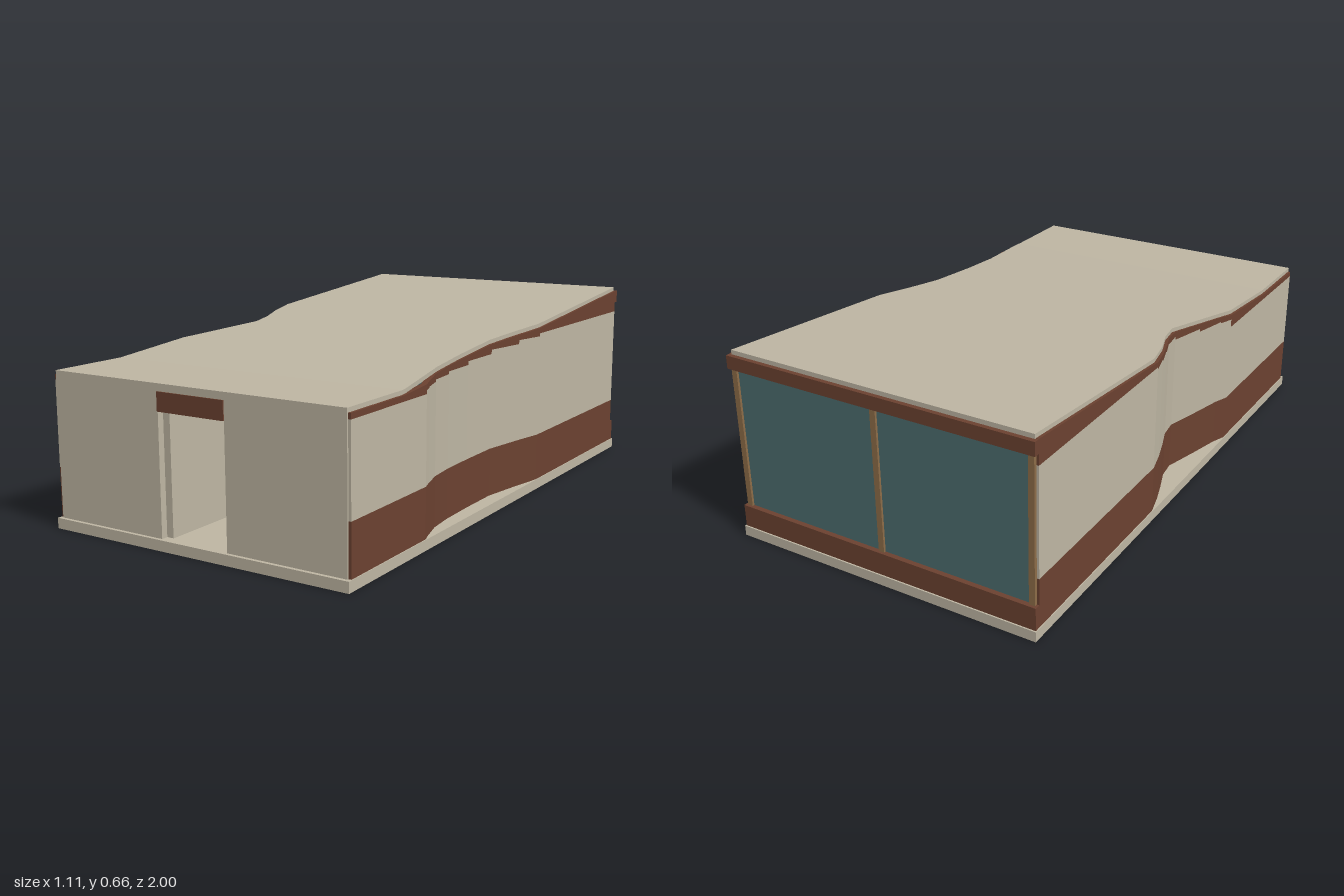
import * as THREE from 'three';
import { mergeGeometries } from 'three/addons/utils/BufferGeometryUtils.js';

const mat = (name, color) => Object.assign(new THREE.MeshStandardMaterial({ color }), { name });

// Height of the roof surface: flat over the entrance, then rising to the back
const roofY = z => 0.515 + Math.max(0, 0.7 - z) * 0.0863;

// Plan outlines [z, |x|] running from front to back, with a scooped recess on each flank
const wallLeft = [[0.983, 0.553], [0.57, 0.553], [0.53, 0.54], [0.45, 0.518], [0.35, 0.508], [0.21, 0.504],
  [0.04, 0.504], [-0.12, 0.53], [-0.24, 0.553], [-0.975, 0.553]];
const wallRight = [[0.983, 0.553], [0.37, 0.553], [0.32, 0.534], [0.2, 0.505], [0.07, 0.471], [0, 0.48],
  [-0.08, 0.508], [-0.16, 0.533], [-0.24, 0.553], [-0.975, 0.553]];
const roofLeft = [[0.988, 0.544], [0.68, 0.544], [0.42, 0.506], [0.25, 0.497], [0.04, 0.495], [-0.08, 0.512],
  [-0.25, 0.544], [-0.98, 0.544]];
const roofRight = [[0.988, 0.544], [0.38, 0.544], [0.32, 0.528], [0.06, 0.462], [-0.03, 0.479], [-0.13, 0.515],
  [-0.25, 0.544], [-0.98, 0.544]];

// Interpolates an outline at z
function widthAt(line, z) {
  for (let i = 0; i < line.length - 1; i++) {
    const [z0, x0] = line[i], [z1, x1] = line[i + 1];
    if (z <= z0 && z >= z1) return x0 + (x1 - x0) * (z0 - z) / (z0 - z1);
  }
  return line[line.length - 1][1];
}

// Solid through four-sided sections { z, x0, x1, y0, y1 } listed from front to back
function loft(sections) {
  const rings = sections.map(({ z, x0, x1, y0, y1 }) => [[x0, y0, z], [x1, y0, z], [x1, y1, z], [x0, y1, z]]);
  const pos = [];
  const quad = (a, b, c, d) => pos.push(...a, ...b, ...c, ...a, ...c, ...d);
  quad(...rings[0]);
  for (let i = 0; i < rings.length - 1; i++) {
    const A = rings[i], B = rings[i + 1];
    for (let k = 0; k < 4; k++) quad(A[k], B[k], B[(k + 1) % 4], A[(k + 1) % 4]);
  }
  quad(...rings[rings.length - 1].slice().reverse());
  const g = new THREE.BufferGeometry();
  g.setAttribute('position', new THREE.Float32BufferAttribute(pos, 3));
  g.computeVertexNormals();
  return g;
}

export function createModel() {
  const cream = mat('cream plaster', 0xbdb5a2);
  const brown = mat('brown cladding', 0x6b4130);
  const glass = mat('teal glass', 0x4c6c6e);
  const wood = mat('tan wood', 0x8c6c48);
  const model = new THREE.Group();
  model.name = 'pavilion';

  const add = (name, geometry, material) => {
    const m = new THREE.Mesh(geometry, material);
    m.name = name;
    model.add(m);
  };
  // Box given by its limits
  const box = (name, material, x0, x1, y0, y1, z0, z1) => {
    const g = new THREE.BoxGeometry(x1 - x0, y1 - y0, z1 - z0);
    g.translate((x0 + x1) / 2, (y0 + y1) / 2, (z0 + z1) / 2);
    add(name, g, material);
  };

  // Floor slab
  box('floorSlab', cream, -0.556, 0.556, 0, 0.035, -1, 1);

  // Sloping roof
  const zs = [...new Set([...roofLeft, ...roofRight].map(p => p[0]).concat(0.7))].sort((a, b) => b - a);
  add('roof', loft(zs.map(z => ({
    z, x0: -widthAt(roofRight, z), x1: widthAt(roofLeft, z), y0: roofY(z) - 0.015, y1: roofY(z),
  }))), cream);

  // Flank walls: brown plinth, cream panels with stepped tops, brown fascia under the roof
  for (const [side, line, s] of [['left', wallLeft, 1], ['right', wallRight, -1]]) {
    const sec = ([z, w], y0, y1) => ({
      z, y0, y1, x0: s > 0 ? w - 0.02 : -w, x1: s > 0 ? w : 0.02 - w,
    });
    add(side + 'Plinth', loft(line.map(p => sec(p, 0.035, 0.2))), brown);
    const panels = [], fascia = [];
    for (let i = 0; i < line.length - 1; i++) {
      const a = line[i], b = line[i + 1];
      const step = roofY(a[0]) - 0.032;
      panels.push(loft([sec(a, 0.2, step), sec(b, 0.2, step)]));
      // Extra section where the roof starts to rise
      const stops = [a];
      if (a[0] > 0.7 && b[0] < 0.7) stops.push([0.7, widthAt(line, 0.7)]);
      stops.push(b);
      fascia.push(loft(stops.map(p => sec(p, step, roofY(p[0]) - 0.014))));
    }
    add(side + 'Panels', mergeGeometries(panels), cream);
    add(side + 'Fascia', mergeGeometries(fascia), brown);
  }

  // Entrance front
  for (const s of [-1, 1]) {
    box('frontWall', cream, s < 0 ? -0.544 : 0.125, s < 0 ? -0.125 : 0.544, 0.035, 0.491, 0.965, 0.988);
  }
  box('frontRoofEdge', cream, -0.544, 0.544, 0.491, 0.505, 0.965, 0.988);
  box('doorLintel', brown, -0.125, 0.125, 0.43, 0.491, 0.97, 0.992);

  // Hall walls behind the door
  box('hallWall', cream, -0.125, -0.1, 0.035, 0.45, 0.3, 0.965);
  box('partition', cream, -0.09, 0.055, 0.035, 0.397, 0.18, 0.2);
  box('partitionCap', brown, -0.1, 0.055, 0.397, 0.41, 0.18, 0.2);

  // Glazed back with rails and posts
  box('backGlass', glass, -0.54, 0.54, 0.11, 0.605, -0.978, -0.97);
  box('backSill', brown, -0.553, 0.553, 0.035, 0.112, -0.995, -0.97);
  box('backHeader', brown, -0.553, 0.553, 0.6, 0.645, -0.995, -0.972);
  for (const x of [-0.535, 0, 0.535]) {
    box('backPost', wood, x - 0.01, x + 0.01, 0.112, 0.6, -0.986, -0.964);
  }
  return model;
}
